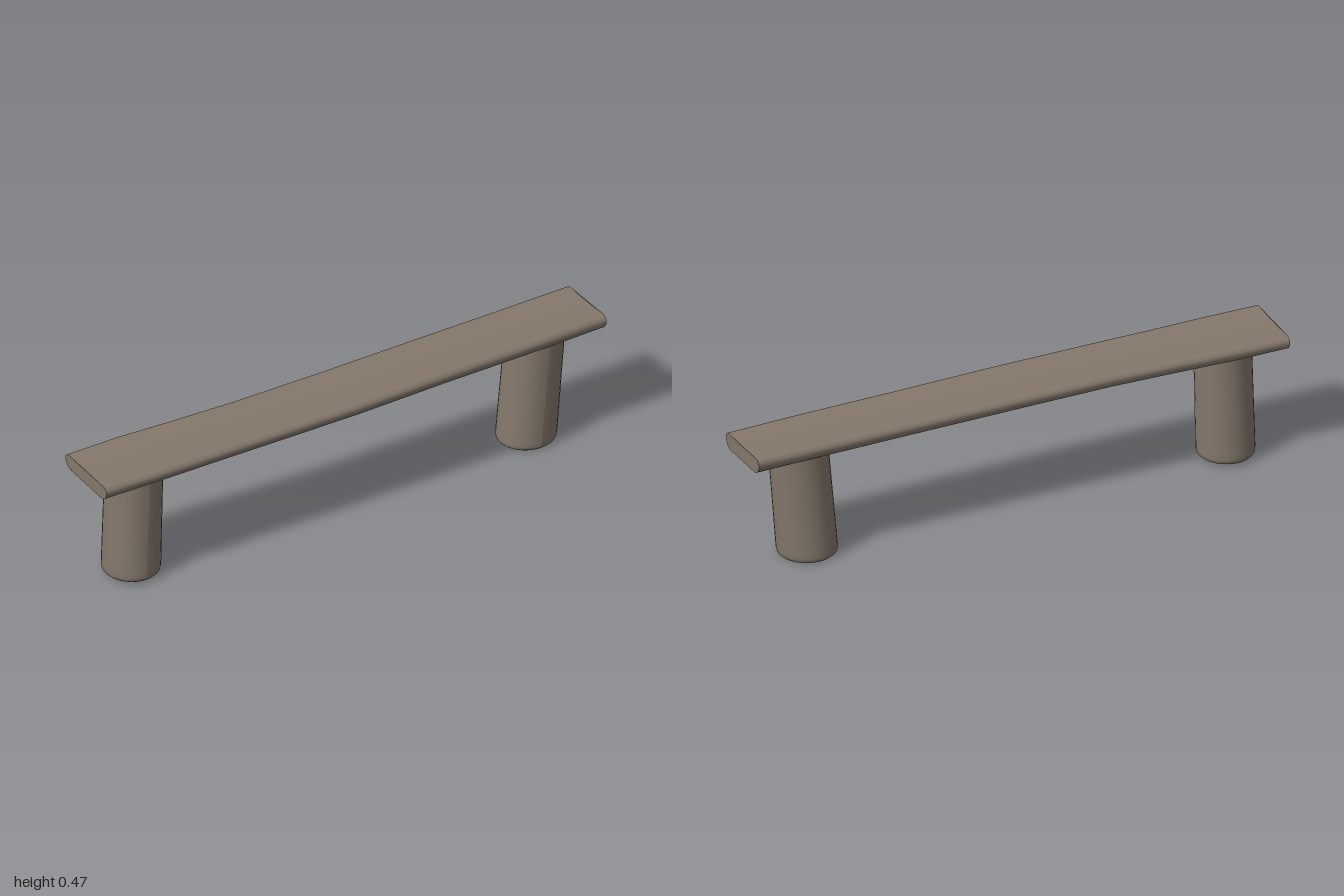
import * as THREE from 'three';

// Plank stations: x, back z, front z, bottom y, top y
const STATIONS = [
  [-1, -0.138, 0.132, 0.412, 0.466],
  [-0.8, -0.14, 0.134, 0.412, 0.466],
  [-0.6, -0.13, 0.132, 0.411, 0.465],
  [-0.35, -0.122, 0.132, 0.411, 0.464],
  [0, -0.124, 0.13, 0.409, 0.463],
  [0.35, -0.13, 0.119, 0.409, 0.463],
  [0.68, -0.134, 0.112, 0.407, 0.463],
  [0.85, -0.137, 0.106, 0.406, 0.463],
  [1, -0.139, 0.1, 0.405, 0.463],
];
// Half of the worn plank section: across (0..1), up (0..1)
const HALF = [[0.72, 0], [0.8, 0.03], [0.92, 0.2], [1, 0.55], [0.98, 0.8], [0.9, 0.98], [0.8, 1], [0.35, 0.92]];
const SECTION = [...HALF, ...[...HALF].reverse().map(([u, v]) => [-u, v])];

function plankGeometry() {
  const pos = [], index = [], n = SECTION.length;
  const addRing = ([x, z0, z1, y0, y1]) => {
    const start = pos.length / 3;
    for (const [u, v] of SECTION) {
      const z = (z0 + z1) / 2 + u * (z1 - z0) / 2;
      // the back half of the right end is cut slightly askew
      const endX = x === 1 ? x - 0.012 * (1 - u) / 2 : x;
      pos.push(endX, y0 + v * (y1 - y0), z);
    }
    return start;
  };
  const rings = STATIONS.map(addRing);
  for (let i = 0; i < rings.length - 1; i++) {
    for (let j = 0; j < n; j++) {
      const k = (j + 1) % n;
      const a = rings[i] + j, b = rings[i] + k, c = rings[i + 1] + j, d = rings[i + 1] + k;
      index.push(a, c, b, b, c, d);
    }
  }
  // separate end faces keep the ends sharp
  for (const [station, flip] of [[STATIONS[0], false], [STATIONS[STATIONS.length - 1], true]]) {
    const s = addRing(station);
    for (let j = 0; j < n / 2 - 1; j++) {
      const a = s + j, b = s + j + 1, c = s + n - 2 - j, d = s + n - 1 - j;
      if (flip) index.push(a, d, b, b, d, c);
      else index.push(a, b, d, b, c, d);
    }
  }
  const g = new THREE.BufferGeometry();
  g.setAttribute('position', new THREE.Float32BufferAttribute(pos, 3));
  g.setIndex(index);
  g.computeVertexNormals();
  return g;
}

// Round log leg with a softened foot, leaning from its foot to its top
function legGeometry({ foot, top, y0, rx, rz }) {
  const h = 0.43 - y0;
  const profile = [[0, 0], [0.88, 0], [0.92, 0.002], [0.98, 0.008], [1, 0.02], [1, 0.04], [0.99, h * 0.5], [0.98, h]];
  const g = new THREE.LatheGeometry(profile.map(([r, y]) => new THREE.Vector2(r, y)), 32);
  const p = g.attributes.position;
  for (let i = 0; i < p.count; i++) {
    const t = p.getY(i) / h;
    p.setXYZ(i,
      p.getX(i) * rx + foot[0] + (top[0] - foot[0]) * t,
      p.getY(i) + y0,
      p.getZ(i) * rz + foot[1] + (top[1] - foot[1]) * t);
  }
  g.computeVertexNormals();
  return g;
}

export function createModel() {
  const wood = new THREE.MeshStandardMaterial({ color: 0x85786b });
  wood.name = 'weathered wood';
  const model = new THREE.Group();
  model.name = 'bench';
  const add = (name, geometry) => {
    const mesh = new THREE.Mesh(geometry, wood);
    mesh.name = name;
    model.add(mesh);
  };

  add('seatPlank', plankGeometry());
  add('rightLeg', legGeometry({ foot: [-0.817, -0.012], top: [-0.808, -0.007], y0: 0.008, rx: 0.101, rz: 0.105 }));
  add('leftLeg', legGeometry({ foot: [0.75, -0.016], top: [0.783, -0.01], y0: 0, rx: 0.106, rz: 0.102 }));
  return model;
}
